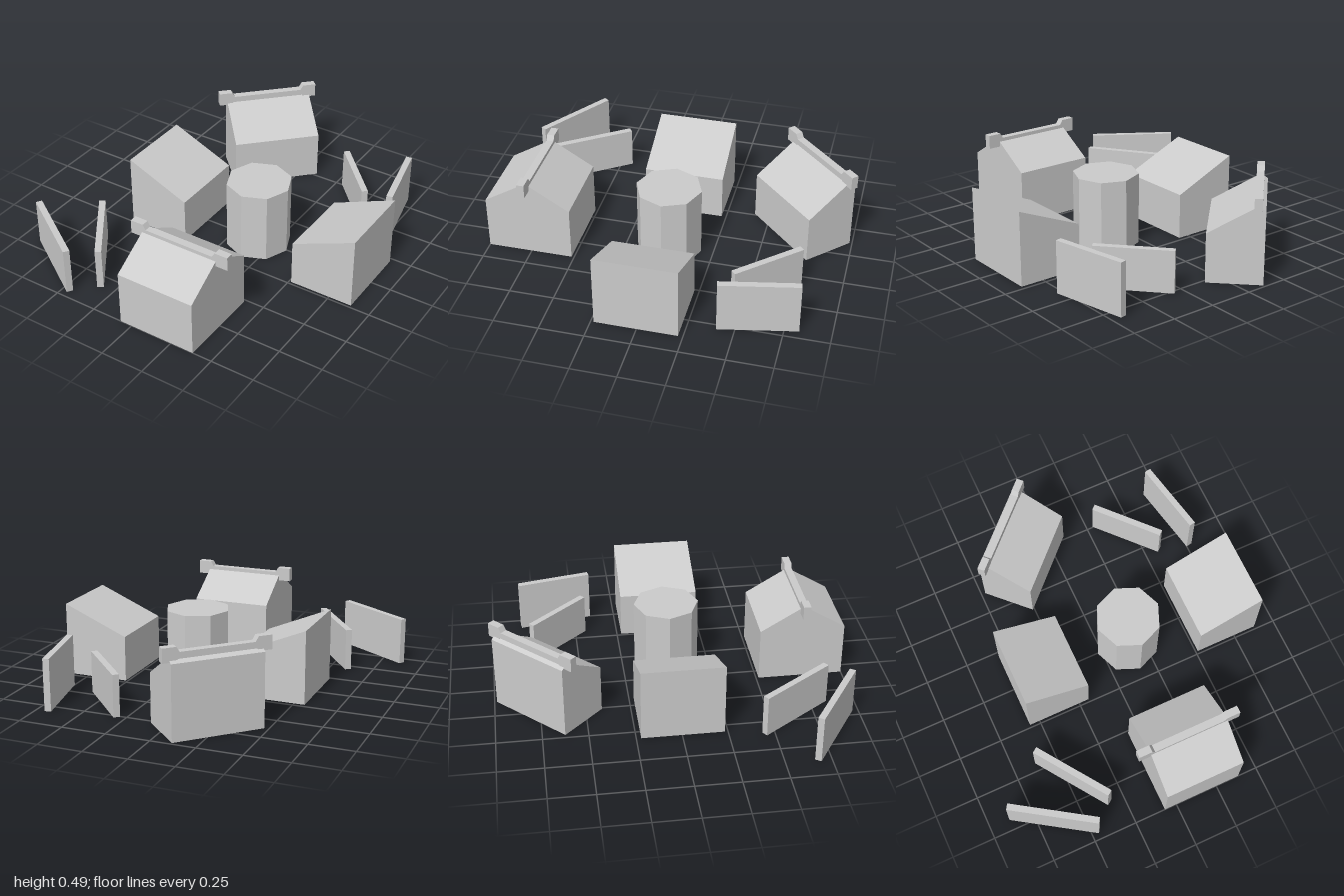
import * as THREE from 'three';

const material = new THREE.MeshStandardMaterial({ color: 0xcccccc, flatShading: true, side: THREE.DoubleSide });

// Drops the triangles lying on the ground, so a building is an open shell below.
function openBottom(geometry) {
  const flat = geometry.index ? geometry.toNonIndexed() : geometry;
  const p = flat.attributes.position.array;
  const kept = [];
  for (let i = 0; i < p.length; i += 9) {
    const onGround = [1, 4, 7].every((k) => Math.abs(p[i + k]) < 1e-4);
    if (!onGround) kept.push(...p.slice(i, i + 9));
  }
  const shell = new THREE.BufferGeometry();
  shell.setAttribute('position', new THREE.Float32BufferAttribute(kept, 3));
  shell.computeVertexNormals();
  return shell;
}

// Extrudes an x/y outline, centred along z.
function prism(points, depth) {
  const shape = new THREE.Shape(points.map(([x, y]) => new THREE.Vector2(x, y)));
  return new THREE.ExtrudeGeometry(shape, { depth, bevelEnabled: false }).translate(0, 0, -depth / 2);
}

function mesh(name, geometry, parent) {
  const m = new THREE.Mesh(geometry, material);
  m.name = name;
  parent.add(m);
  return m;
}

// Gabled house with its ridge along local x, above the local origin.
function house(name, { length, front, back, frontEave, backEave, ridge, shift = 0 }) {
  const group = new THREE.Group();
  group.name = name;
  const gable = [[-back, 0], [front, 0], [front, frontEave], [0, ridge], [-back, backEave]];
  const body = openBottom(prism(gable, length)).rotateY(-Math.PI / 2);
  mesh('houseBody', body, group).position.x = shift;

  // Ridge beam with a raised block at each end
  const half = [[0.298, 0.415], [0.298, 0.493], [0.222, 0.493], [0.205, 0.465]];
  const under = [[0.222, 0.415], [0.215, 0.43]];
  const mirror = (pts) => pts.map(([x, y]) => [-x, y]).reverse();
  const beam = [...half, ...mirror(half), ...mirror(under).reverse().slice(0, 1),
    [-0.215, 0.43], [0.215, 0.43], under[0]];
  mesh('ridgeBeam', prism(beam, 0.042), group);
  return group;
}

export function createModel() {
  const model = new THREE.Group();
  model.name = 'courtyard';

  // Symmetrical gabled house at the front
  const frontHouse = house('frontHouse', {
    length: 0.457, front: 0.24, back: 0.245, frontEave: 0.31, backEave: 0.31, ridge: 0.457,
  });
  frontHouse.position.set(0.158, 0, 0.76);
  model.add(frontHouse);

  // Turned house at the back, its ridge close to the tall rear wall
  const backHouse = house('backHouse', {
    length: 0.51, front: 0.265, back: 0.04, frontEave: 0.277, backEave: 0.413, ridge: 0.437, shift: 0.005,
  });
  backHouse.position.set(-0.271, 0, -0.774);
  backHouse.rotation.y = Math.PI / 4;
  model.add(backHouse);

  // Two lean-to sheds, low sides facing the middle
  for (const [name, side, x] of [['leftShed', 1, 0.698], ['rightShed', -1, -0.375]]) {
    const outline = [[-0.185, 0], [0.185, 0], [0.185, 0.417], [-0.185, 0.26]]
      .map(([px, py]) => [side * px, py]);
    mesh(name, openBottom(prism(outline, 0.457)), model).position.set(x, 0, 0.005);
  }

  // Eight-sided drum in the middle
  const drum = new THREE.CylinderGeometry(0.185, 0.185, 0.41, 8).translate(0, 0.205, 0);
  mesh('centralDrum', openBottom(drum), model).position.set(0.16, 0, 0.005);

  // Free-standing wall panels: start x, z, end x, z, height
  const panels = [
    [-0.875, 0.675, -0.452, 0.952, 0.27],
    [-0.61, 0.442, -0.335, 0.834, 0.24],
    [0.3, -0.766, 0.59, -0.449, 0.237],
    [0.68, -0.825, 0.767, -0.4, 0.295],
  ];
  for (const [x0, z0, x1, z1, height] of panels) {
    const length = Math.hypot(x1 - x0, z1 - z0);
    const panel = mesh('wallPanel', new THREE.BoxGeometry(length, height, 0.036), model);
    panel.position.set((x0 + x1) / 2, height / 2, (z0 + z1) / 2);
    panel.rotation.y = -Math.atan2(z1 - z0, x1 - x0);
  }
  return model;
}
